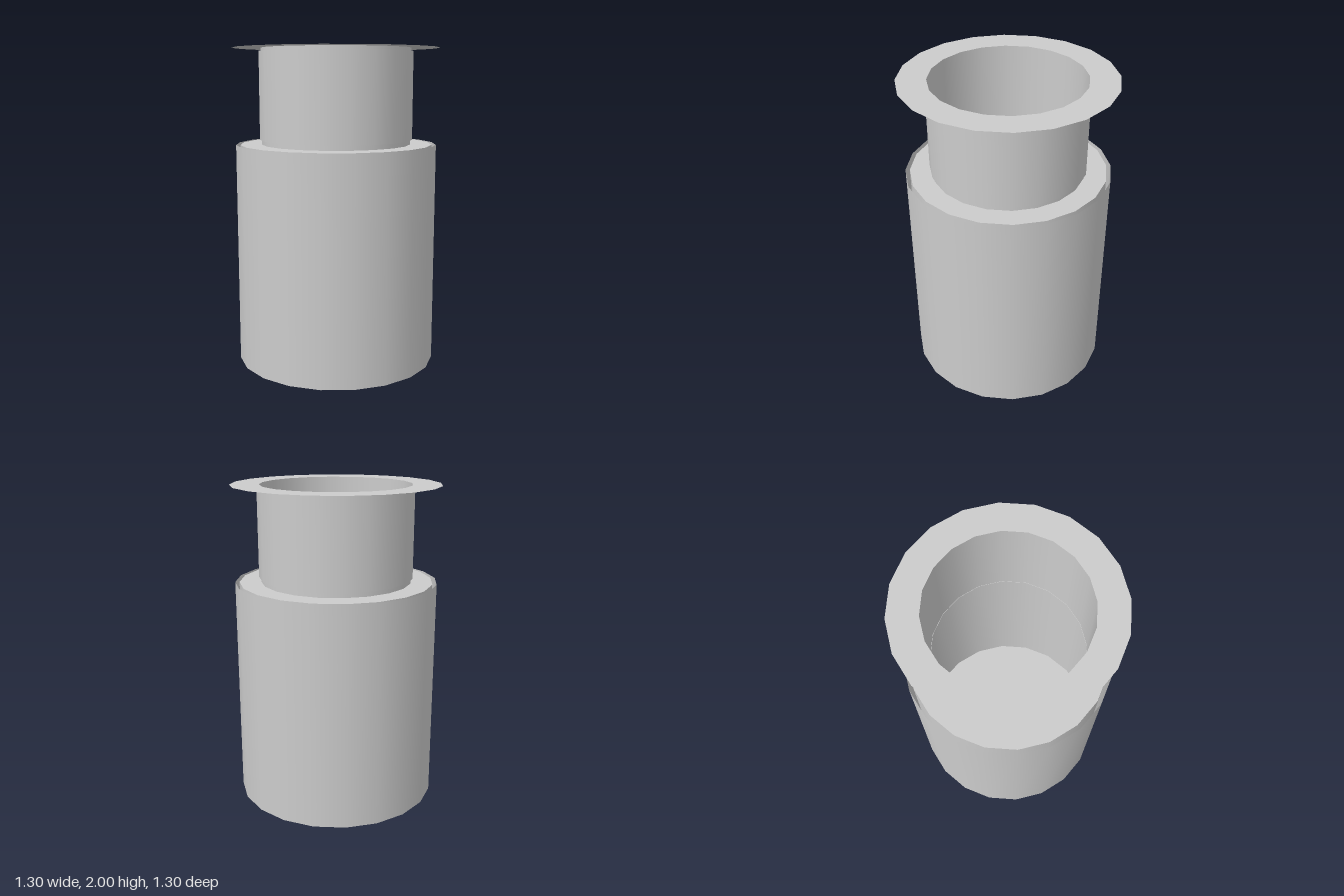
import * as THREE from 'three';

const SIDES = 20;

export function createModel() {
  const model = new THREE.Group();
  const material = new THREE.MeshStandardMaterial({ color: 0xcccccc, side: THREE.DoubleSide });

  const add = (name, geometry, y) => {
    const mesh = new THREE.Mesh(geometry, material);
    mesh.name = name;
    mesh.position.y = y;
    model.add(mesh);
  };
  // Open upright tube between two heights
  const tube = (name, radius, bottom, top) =>
    add(name, new THREE.CylinderGeometry(radius, radius, top - bottom, SIDES, 1, true), (bottom + top) / 2);
  // Flat horizontal ring
  const ring = (name, inner, outer, y) =>
    add(name, new THREE.RingGeometry(inner, outer, SIDES).rotateX(-Math.PI / 2), y);

  // Body: outer sleeve around a slightly narrower inner wall
  tube('bodySleeve', 0.635, 0, 1.4);
  tube('bodyInnerWall', 0.608, 0, 1.4);
  ring('floorWithHole', 0.14, 0.635, 0);
  ring('shoulder', 0.47, 0.608, 1.4);

  // Neck: inner wall with a shorter sleeve around it
  tube('neckInnerWall', 0.472, 1.4, 2);
  tube('neckSleeve', 0.485, 1.43, 1.98);

  // Thin rim flange
  ring('topFlange', 0.47, 0.65, 2);

  return model;
}
